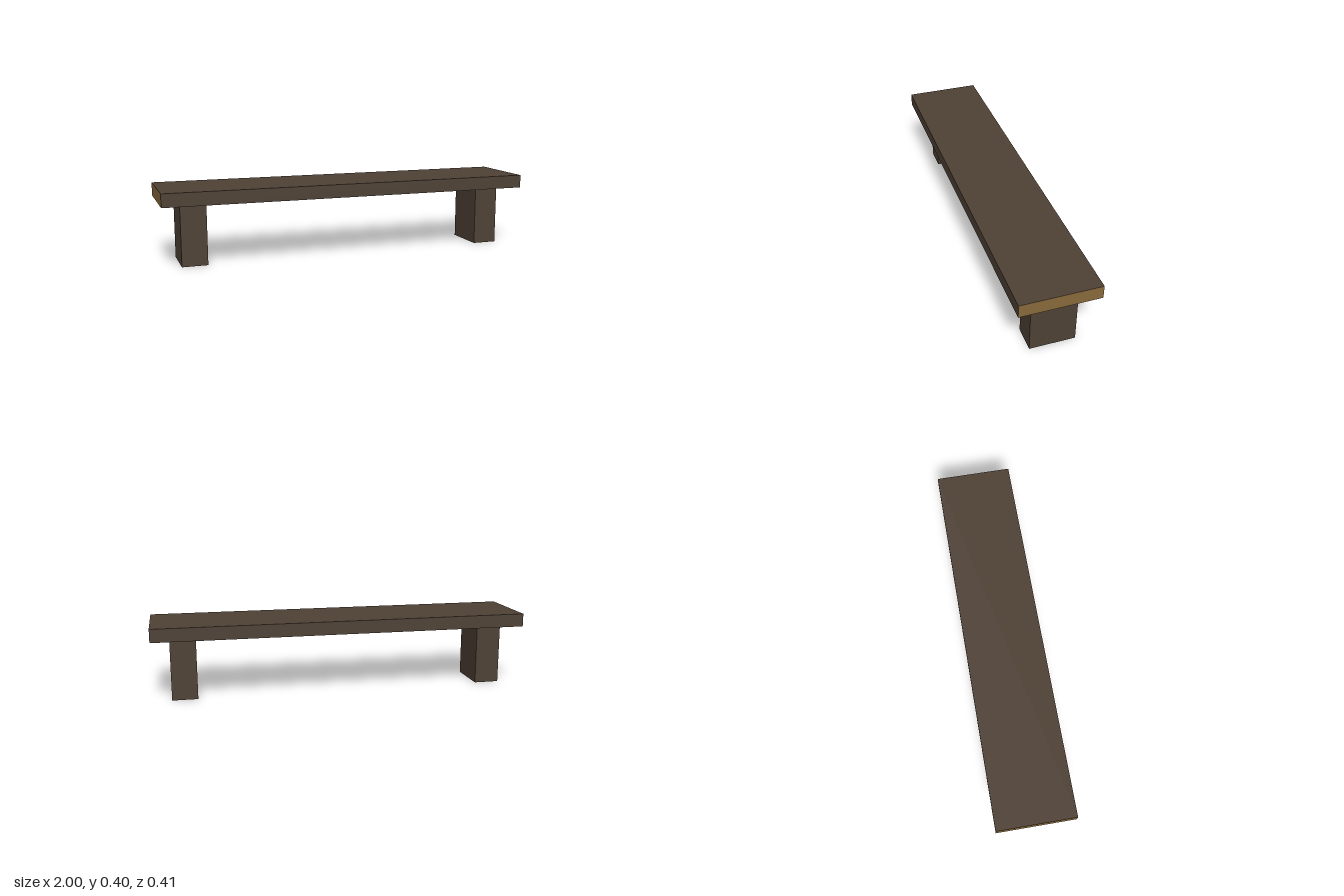
import * as THREE from 'three';

const darkWood = new THREE.MeshStandardMaterial({ color: 0x4f4236 });
darkWood.name = 'darkWood';
darkWood.side = THREE.DoubleSide;
const endGrain = new THREE.MeshStandardMaterial({ color: 0x896a3a });
endGrain.name = 'endGrain';

// Four-sided box tube, open at the top and bottom
function openBox(width, height, depth) {
  const geometry = new THREE.BoxGeometry(width, height, depth);
  const index = Array.from(geometry.index.array);
  index.splice(12, 12); // drop the top and bottom faces
  geometry.setIndex(index);
  geometry.clearGroups();
  return geometry;
}

export function createModel() {
  const bench = new THREE.Group();
  bench.name = 'bench';

  // Seat plank with lighter cut ends
  const seatHeight = 0.07, seatBottom = 0.327;
  const seat = new THREE.Mesh(
    new THREE.BoxGeometry(2, seatHeight, 0.408),
    [endGrain, endGrain, darkWood, darkWood, darkWood, darkWood]
  );
  seat.name = 'seat';
  seat.position.y = seatBottom + seatHeight / 2;
  bench.add(seat);

  // Hollow legs, set slightly towards the back
  const legGeometry = openBox(0.134, seatBottom, 0.236);
  for (const [name, x] of [['leftLeg', 0.837], ['rightLeg', -0.832]]) {
    const leg = new THREE.Mesh(legGeometry, darkWood);
    leg.name = name;
    leg.position.set(x, seatBottom / 2, -0.011);
    bench.add(leg);
  }

  return bench;
}
